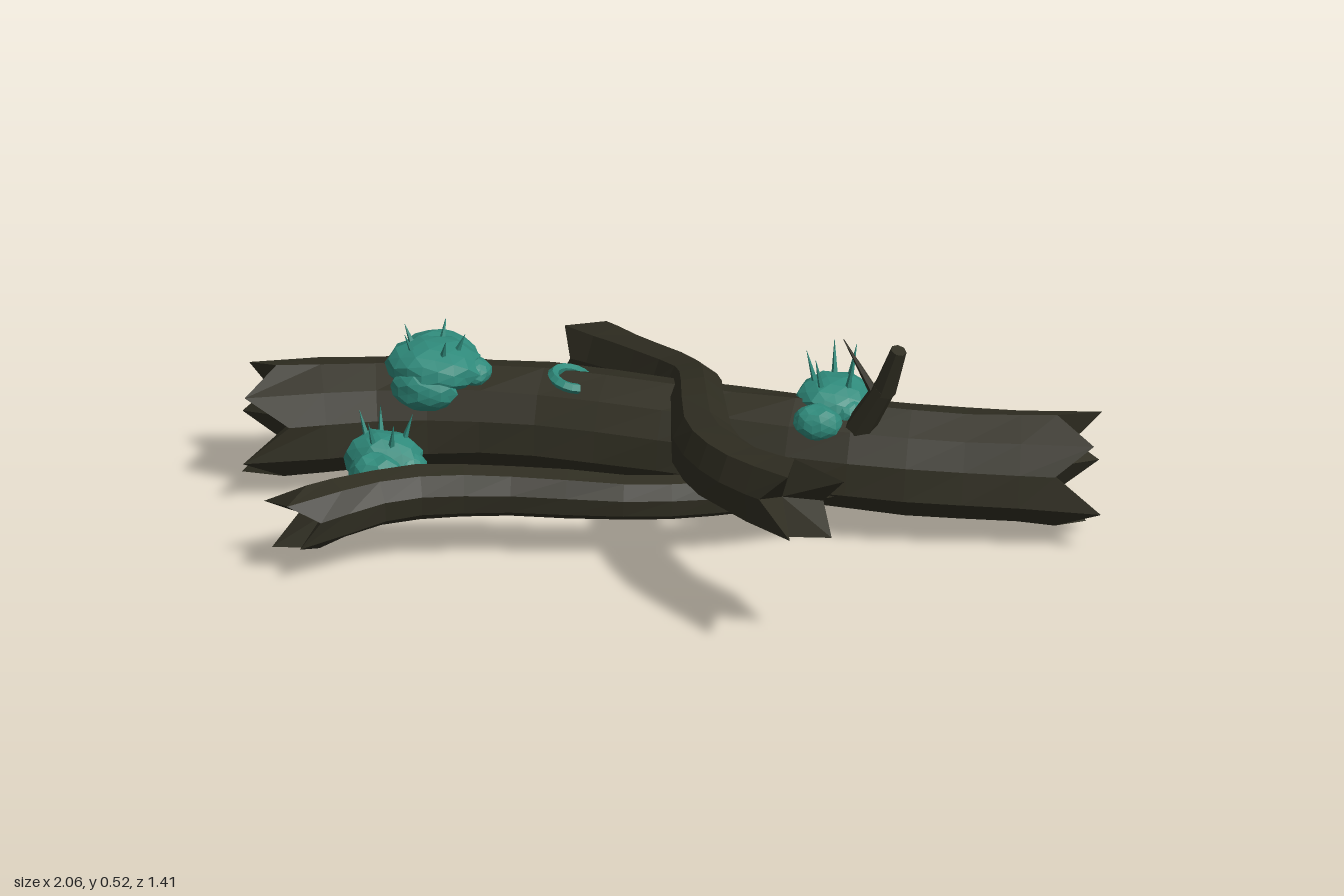
import * as THREE from 'three';
import { mergeGeometries } from 'three/addons/utils/BufferGeometryUtils.js';

const V = (x, y, z) => new THREE.Vector3(x, y, z);

// Small seeded generator
function seeded(seed) {
  let s = seed;
  return () => (s = (s * 16807) % 2147483647) / 2147483647;
}

function flat(geometry) {
  const g = geometry.index ? geometry.toNonIndexed() : geometry;
  g.deleteAttribute('uv');
  g.computeVertexNormals();
  return g;
}

// Faceted log swept along a spine, with splintered hollow ends
function logGeometry(points, radii, sides, rings, tooth, seed) {
  const rnd = seeded(seed);
  const curve = new THREE.CatmullRomCurve3(points.map((p) => V(...p)));
  const ridge = Array.from({ length: sides }, () => 0.92 + rnd() * 0.16);
  const pos = [];
  const idx = [];
  const frames = [];
  for (let i = 0; i <= rings; i++) {
    const t = i / rings;
    const c = curve.getPoint(t);
    const T = curve.getTangent(t);
    const S = T.clone().cross(V(0, 1, 0)).normalize();
    const U = S.clone().cross(T);
    frames.push({ c, T });
    const f = t * (radii.length - 1);
    const k = Math.min(Math.floor(f), radii.length - 2);
    const r = THREE.MathUtils.lerp(radii[k], radii[k + 1], f - k);
    const end = i === 0 ? -1 : i === rings ? 1 : 0;
    for (let j = 0; j < sides; j++) {
      const a = (j / sides) * Math.PI * 2 + 0.25;
      const q = r * ridge[j] * (0.97 + rnd() * 0.06);
      const jag = end * tooth * (j % 2 ? 0.45 + rnd() * 0.55 : -0.35 - rnd() * 0.35);
      const p = c.clone().addScaledVector(S, Math.cos(a) * q)
        .addScaledVector(U, Math.sin(a) * q).addScaledVector(T, jag);
      pos.push(p.x, p.y, p.z);
    }
  }
  for (let i = 0; i < rings; i++) {
    for (let j = 0; j < sides; j++) {
      const n = (j + 1) % sides;
      const a = i * sides + j, b = i * sides + n;
      idx.push(a, a + sides, b + sides, a, b + sides, b);
    }
  }
  // Recessed centres of the broken ends
  [0, rings].forEach((i) => {
    const { c, T } = frames[i];
    const p = c.clone().addScaledVector(T, (i ? -1 : 1) * tooth * 0.9);
    const m = pos.length / 3;
    pos.push(p.x, p.y, p.z);
    for (let j = 0; j < sides; j++) {
      const a = i * sides + j, b = i * sides + ((j + 1) % sides);
      idx.push(m, i ? b : a, i ? a : b);
    }
  });
  const g = new THREE.BufferGeometry();
  g.setAttribute('position', new THREE.Float32BufferAttribute(pos, 3));
  g.setIndex(idx);
  return flat(g);
}

// Tapered rod or thorn between two points
function rod(a, b, r0, r1, sides) {
  const d = b.clone().sub(a);
  const g = new THREE.CylinderGeometry(r1, r0, d.length(), sides);
  g.applyQuaternion(new THREE.Quaternion().setFromUnitVectors(V(0, 1, 0), d.clone().normalize()));
  g.translate((a.x + b.x) / 2, (a.y + b.y) / 2, (a.z + b.z) / 2);
  return flat(g);
}

// Lumpy lobe with roughened facets
function lobe([x, y, z, rx, ry, rz], seed) {
  const g = new THREE.IcosahedronGeometry(1, 2);
  const p = g.attributes.position;
  const v = V(0, 0, 0);
  for (let i = 0; i < p.count; i++) {
    v.fromBufferAttribute(p, i);
    const n = Math.sin(v.x * 7 + seed) * Math.sin(v.y * 8 + seed * 2) * Math.cos(v.z * 7 - seed);
    v.multiplyScalar(1 + 0.1 * n);
    p.setXYZ(i, x + v.x * rx, y + v.y * ry, z + v.z * rz);
  }
  return flat(g);
}

export function createModel() {
  const bark = new THREE.MeshStandardMaterial({ color: 0x302e22 });
  bark.name = 'dark bark';
  const moss = new THREE.MeshStandardMaterial({ color: 0x2f8a7b });
  moss.name = 'teal moss';

  const model = new THREE.Group();
  model.name = 'logPile';
  const add = (name, geometry, material) => {
    const mesh = new THREE.Mesh(geometry, material);
    mesh.name = name;
    model.add(mesh);
  };

  // Thick lower log
  add('mainLog', logGeometry([
    [-0.93, 0.15, 0.1], [-0.65, 0.165, 0.0], [-0.35, 0.178, -0.045], [0, 0.182, -0.05],
    [0.35, 0.178, -0.06], [0.65, 0.165, -0.115], [0.93, 0.15, -0.2],
  ], [0.132, 0.125, 0.122, 0.122, 0.125, 0.125, 0.13], 10, 14, 0.07, 17), bark);

  // Log lying across the top, high at the front and low at the back
  add('crossingLog', logGeometry([
    [-0.35, 0.08, -0.59], [-0.2, 0.135, -0.44], [-0.01, 0.215, -0.22], [0.08, 0.283, 0],
    [0.19, 0.315, 0.29], [0.33, 0.34, 0.47], [0.52, 0.365, 0.61],
  ], [0.088, 0.078, 0.068, 0.068, 0.078, 0.082, 0.092], 8, 14, 0.075, 91), bark);

  // Slim log tucked under the main log
  add('slimLog', logGeometry([
    [-0.71, 0.125, 0.56], [-0.53, 0.15, 0.41], [-0.3, 0.15, 0.315], [0, 0.14, 0.235],
    [0.22, 0.135, 0.13], [0.42, 0.14, 0.0],
  ], [0.078, 0.068, 0.063, 0.055, 0.052, 0.045], 8, 12, 0.065, 43), bark);

  // Snapped twig with a side thorn
  add('twig', mergeGeometries([
    rod(V(0.45, 0.24, -0.035), V(0.535, 0.39, -0.005), 0.037, 0.027, 7),
    rod(V(0.532, 0.38, -0.007), V(0.575, 0.5, 0.015), 0.028, 0.019, 7),
    rod(V(0.515, 0.36, -0.01), V(0.435, 0.5, -0.005), 0.013, 0.001, 5),
  ]), bark);

  // Moss clumps: lobes as [x, y, z, rx, ry, rz], thorns scattered on top
  const clumps = [
    ['leftMoss', [
      [-0.555, 0.305, 0.015, 0.112, 0.06, 0.1], [-0.57, 0.29, -0.08, 0.09, 0.055, 0.065],
      [-0.46, 0.295, 0.0, 0.04, 0.032, 0.045], [-0.56, 0.27, 0.07, 0.08, 0.055, 0.055]], 0.035],
    ['sideMoss', [
      [-0.62, 0.13, 0.19, 0.095, 0.07, 0.07], [-0.62, 0.115, 0.25, 0.07, 0.06, 0.055],
      [-0.56, 0.12, 0.2, 0.045, 0.045, 0.05]], 0.05],
    ['rightMoss', [
      [0.38, 0.295, -0.11, 0.09, 0.055, 0.092], [0.37, 0.275, -0.01, 0.06, 0.045, 0.045],
      [0.43, 0.28, -0.07, 0.042, 0.04, 0.05]], 0.07],
  ];
  clumps.forEach(([name, lobes, spike], c) => {
    const parts = lobes.map((l, i) => lobe(l, c * 3 + i + 1));
    const [x, y, z, rx, ry, rz] = lobes[0];
    for (let i = 0; i < 5; i++) {
      const a = i * 2.4 + c;
      const dx = Math.cos(a), dz = Math.sin(a);
      const base = V(x + dx * rx * 0.5, y + ry * 0.7, z + dz * rz * 0.5);
      parts.push(rod(base, base.clone().add(V(dx * 0.02, spike + ry * 0.2, dz * 0.02)), 0.008, 0.0005, 4));
    }
    add(name, mergeGeometries(parts), moss);
  });

  // Curled sprout, open towards +x
  const curl = new THREE.TorusGeometry(0.044, 0.013, 5, 12, Math.PI * 1.45);
  curl.rotateZ(Math.PI * 0.275);
  curl.rotateX(-Math.PI / 2);
  curl.rotateZ(-0.25);
  curl.translate(-0.23, 0.302, -0.015);
  add('curledSprout', flat(curl), moss);

  return model;
}
